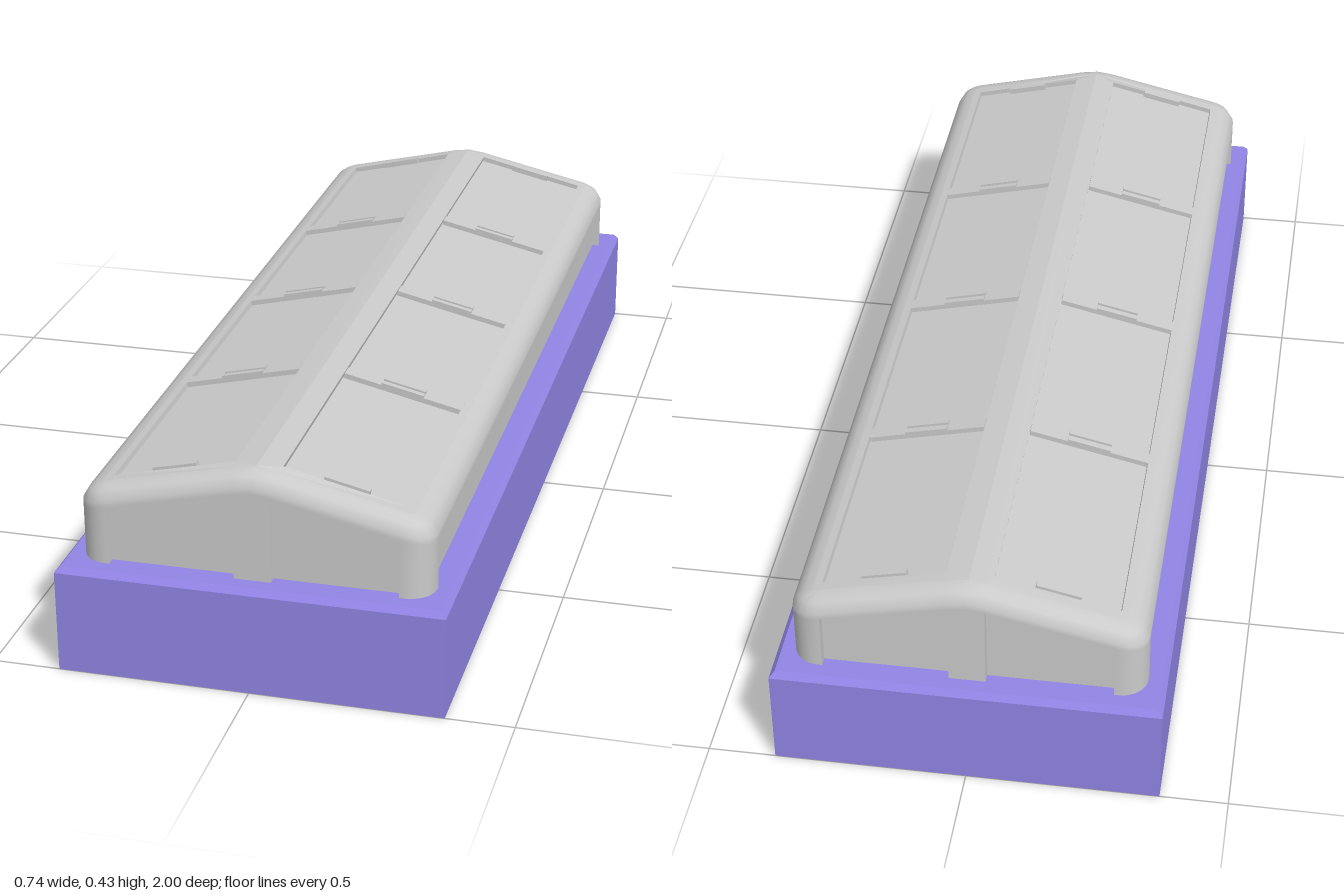
import * as THREE from 'three';
import { toCreasedNormals } from 'three/addons/utils/BufferGeometryUtils.js';

const BASE_TOP = 0.215, HALF_W = 0.335, HALF_L = 0.962, CORNER = 0.05;
const SLOPE = 0.232, RIDGE_X = 0.045;
const POST = 0.035, PANE_X = 0.275, PANE_Z = 0.905;   // wall openings
const ROOF_X = 0.28, ROOF_Z = 0.9;                    // roof openings

const grey = new THREE.MeshStandardMaterial({ color: 0xcccccc, side: THREE.DoubleSide });
const purple = new THREE.MeshStandardMaterial({ color: 0x9385e6 });

// Roof height: straight slopes with a softened ridge
function roofY(x) {
  const a = Math.abs(x);
  return a > RIDGE_X ? 0.4325 - SLOPE * a : 0.428 - (a / RIDGE_X) * 0.0059;
}

function mesh(geometry, material, name) {
  const m = new THREE.Mesh(geometry, material);
  m.name = name;
  return m;
}

function fromQuads(quads) {
  const pos = [];
  for (const [a, b, c, d] of quads) for (const p of [a, b, c, a, c, d]) pos.push(p.x, p.y, p.z);
  const g = new THREE.BufferGeometry();
  g.setAttribute('position', new THREE.Float32BufferAttribute(pos, 3));
  g.computeVertexNormals();
  return g;
}

// Rounded rectangle in plan, from front centre round by +x
function planRing(inset) {
  const r = CORNER - inset, cx = HALF_W - CORNER, cz = HALF_L - CORNER;
  const q = [0, POST, PANE_X].map((x) => [x, HALF_L - inset]);
  for (let i = 0; i <= 5; i++) {
    const t = (i / 5) * Math.PI / 2;
    q.push([cx + r * Math.sin(t), cz + r * Math.cos(t)]);
  }
  q.push([HALF_W - inset, PANE_Z]);
  const flip = (sx, sz) => q.map(([x, z]) => [x * sx, z * sz]);
  return [...q, ...flip(1, -1).reverse(), ...flip(-1, -1).slice(1), ...flip(-1, 1).reverse().slice(0, -1)];
}

// Recessed pane with the four reveals around it
function recessedPane(corners, inward, name) {
  const inner = corners.map((p) => p.clone().add(inward));
  const quads = [inner];
  corners.forEach((p, i) => {
    const j = (i + 1) % 4;
    quads.push([p, corners[j], inner[j], inner[i]]);
  });
  return mesh(fromQuads(quads), grey, name);
}

function createBase() {
  const g = new THREE.BoxGeometry(0.74, BASE_TOP, 2, 1, 2, 1);
  const p = g.attributes.position;
  for (let i = 0; i < p.count; i++) {
    const y = p.getY(i) + BASE_TOP / 2;
    const top = y > BASE_TOP - 0.001;
    const inset = top ? 0.01 : 0;
    const newY = top ? BASE_TOP : y > 0.01 ? BASE_TOP - 0.012 : 0;
    p.setXYZ(i, p.getX(i) - Math.sign(p.getX(i)) * inset, newY, p.getZ(i) - Math.sign(p.getZ(i)) * inset);
  }
  const flat = g.toNonIndexed();
  flat.computeVertexNormals();
  return mesh(flat, purple, 'base');
}

// Walls and rounded eaves lofted through rings, leaving the wall openings free
function createWallFrame() {
  const levels = [[0, null], [0, 0.0375], [0, 0.026], [0.012, 0.008], [0.025, 0.002], [0.04, 0]];
  const rings = levels.map(([inset, drop]) => planRing(inset).map(([x, z]) =>
    new THREE.Vector3(x, drop === null ? BASE_TOP - 0.01 : roofY(x) - drop, z)));
  const e = 1e-4, quads = [];
  const inEnd = (p) => Math.abs(p.x) > POST - e && Math.abs(p.x) < PANE_X + e && Math.abs(p.z) > HALF_L - e;
  const inSide = (p) => Math.abs(p.z) < PANE_Z + e;
  for (let k = 0; k + 1 < rings.length; k++) {
    const lo = rings[k], hi = rings[k + 1];
    for (let i = 0; i < lo.length; i++) {
      const j = (i + 1) % lo.length;
      const open = (inEnd(lo[i]) && inEnd(lo[j])) || (inSide(lo[i]) && inSide(lo[j]));
      if (k > 0 || !open) quads.push([lo[i], lo[j], hi[j], hi[i]]);
    }
  }
  return mesh(toCreasedNormals(fromQuads(quads), 0.7), grey, 'wallFrame');
}

// One roof slope with its opening, panes, glazing bars and catches (+x side)
function createRoofHalf() {
  const half = new THREE.Group();
  half.name = 'roofHalf';
  const outline = planRing(0.04).filter(([x], i) => x > 0 || (x === 0 && i < 40));
  const shape = new THREE.Shape(outline.map(([x, z]) => new THREE.Vector2(x, -z)));
  shape.holes.push(new THREE.Path([[RIDGE_X, -ROOF_Z], [RIDGE_X, ROOF_Z], [ROOF_X, ROOF_Z], [ROOF_X, -ROOF_Z]]
    .map(([x, y]) => new THREE.Vector2(x, y))));
  const g = new THREE.ShapeGeometry(shape).rotateX(-Math.PI / 2);
  const p = g.attributes.position;
  for (let i = 0; i < p.count; i++) p.setY(i, roofY(p.getX(i)));
  const flat = g.toNonIndexed();
  flat.computeVertexNormals();
  half.add(mesh(flat, grey, 'roofFrame'));

  const at = (x, z) => new THREE.Vector3(x, roofY(x), z);
  half.add(recessedPane([at(RIDGE_X + 0.0001, ROOF_Z), at(ROOF_X, ROOF_Z), at(ROOF_X, -ROOF_Z), at(RIDGE_X + 0.0001, -ROOF_Z)],
    new THREE.Vector3(-0.0023, -0.01, 0), 'roofPanes'));

  const midX = (RIDGE_X + ROOF_X) / 2;
  const addStrip = (name, width, depth, z, lift) => {
    const m = mesh(new THREE.BoxGeometry(width, 0.012, depth), grey, name);
    m.position.set(midX, roofY(midX) + lift - 0.006, z);
    m.rotation.z = -Math.atan(SLOPE);
    half.add(m);
  };
  for (const z of [-0.45, 0, 0.45]) {
    addStrip('glazingBar', 0.241, 0.03, z, 0);
    for (const s of [-1, 1]) addStrip('catch', 0.087, 0.012, z + s * 0.01, 0.005);
  }
  for (const z of [-0.892, 0.892]) addStrip('catch', 0.087, 0.014, z, 0.005);
  return half;
}

export function createModel() {
  const model = new THREE.Group();
  model.name = 'glazedRooflight';
  model.add(createBase(), createWallFrame());

  // Roof, mirrored about the ridge
  const right = createRoofHalf();
  const left = createRoofHalf();
  left.scale.x = -1;
  model.add(right, left);

  // End and side panes
  const y0 = BASE_TOP - 0.01, drop = 0.0375;
  for (const s of [-1, 1]) {
    for (const e of [-1, 1]) {
      const x = (a) => a * s, z = HALF_L * e;
      const c = [
        new THREE.Vector3(x(POST), y0, z), new THREE.Vector3(x(PANE_X), y0, z),
        new THREE.Vector3(x(PANE_X), roofY(PANE_X) - drop, z), new THREE.Vector3(x(POST), roofY(POST) - drop, z)];
      if (s * e < 0) c.reverse();
      model.add(recessedPane(c, new THREE.Vector3(0, 0, -0.018 * e), 'endPane'));
    }
    const top = roofY(HALF_W) - drop;
    const c = [[y0, 1], [y0, -1], [top, -1], [top, 1]].map(([y, k]) => new THREE.Vector3(HALF_W * s, y, PANE_Z * k));
    if (s < 0) c.reverse();
    model.add(recessedPane(c, new THREE.Vector3(-0.015 * s, 0, 0), 'sidePane'));
  }
  return model;
}
